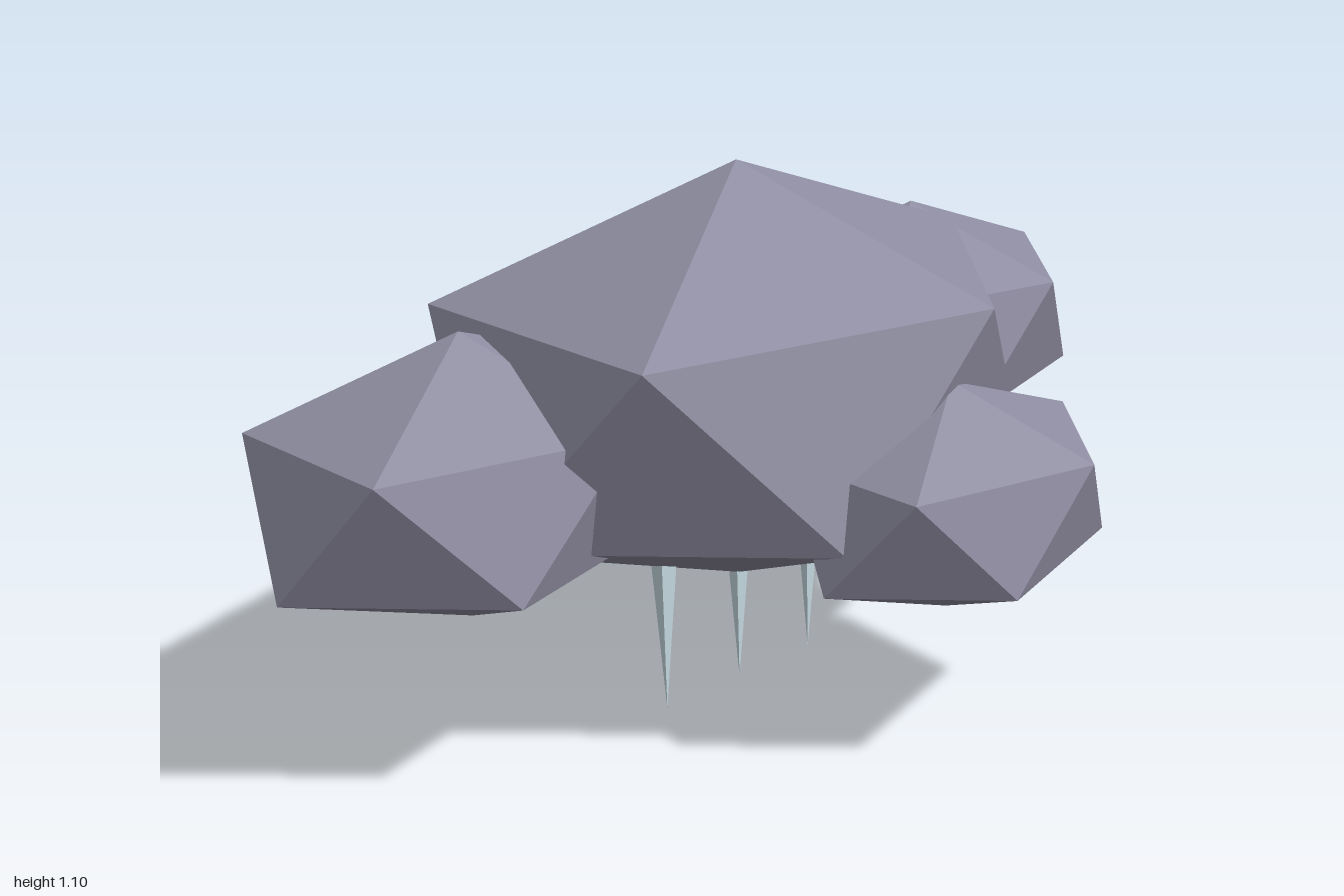
import * as THREE from 'three';
import { ConvexGeometry } from 'three/addons/geometries/ConvexGeometry.js';

// Unit icosahedron standing on a pole, with an upper-ring corner towards +x
function poleIcosahedron() {
  const ringY = 1 / Math.sqrt(5), ringR = 2 / Math.sqrt(5);
  const points = [new THREE.Vector3(0, 1, 0), new THREE.Vector3(0, -1, 0)];
  for (let i = 0; i < 10; i++) {
    const a = (i * Math.PI) / 5;
    points.push(new THREE.Vector3(ringR * Math.cos(a), i % 2 ? -ringY : ringY, ringR * Math.sin(a)));
  }
  return new ConvexGeometry(points);
}

export function createModel() {
  const group = new THREE.Group();
  const cloudMat = new THREE.MeshStandardMaterial({ color: 0x8e8ca0, flatShading: true });
  const iceMat = new THREE.MeshStandardMaterial({ color: 0xcfe4ec, flatShading: true });

  // Cloud: flattened puffs sharing the same proportions
  const puffGeo = poleIcosahedron();
  const puffs = [
    ['mainPuff', 0.003, 0.667, -0.118, 1],
    ['leftPuff', 0.605, 0.626, -0.197, 0.615],
    ['rightPuff', -0.575, 0.571, -0.253, 0.66],
    ['frontPuff', 0.116, 0.501, 0.338, 0.535],
  ];
  for (const [name, x, y, z, s] of puffs) {
    const puff = new THREE.Mesh(puffGeo, cloudMat);
    puff.name = name;
    puff.position.set(x, y, z);
    puff.scale.set(0.721 * s, 0.43 * s, 0.567 * s);
    group.add(puff);
  }

  // Row of icicles hanging from the main puff
  const height = 0.4;
  const icicleGeo = new THREE.CylinderGeometry(0.033, 0, height, 5).rotateY(Math.PI / 2);
  ['rightIcicle', 'middleIcicle', 'leftIcicle'].forEach((name, i) => {
    const icicle = new THREE.Mesh(icicleGeo, iceMat);
    icicle.name = name;
    icicle.position.set(0.003 + (i - 1) * 0.205, height / 2, -0.118);
    group.add(icicle);
  });

  return group;
}
